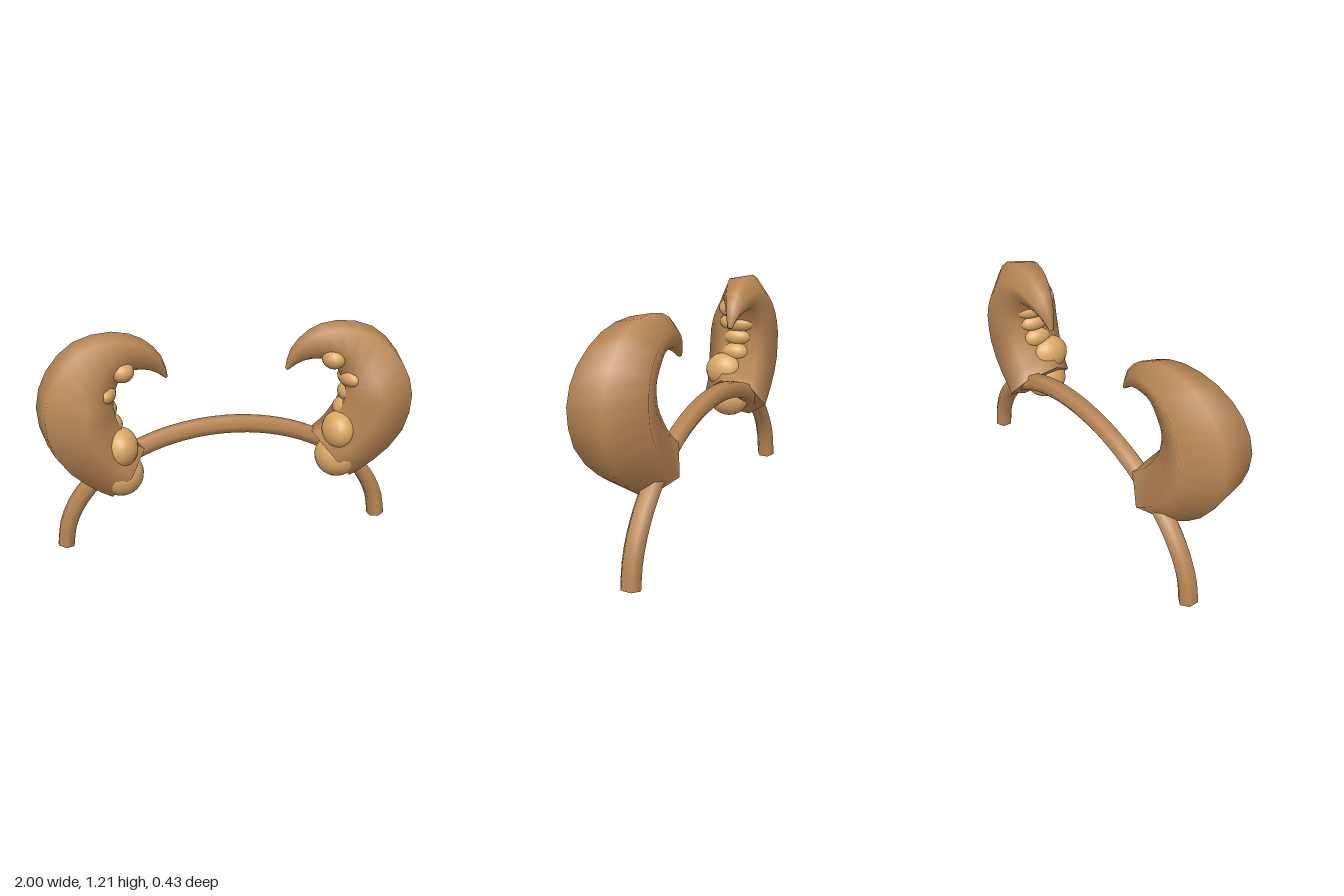
import * as THREE from 'three';

const brown = new THREE.MeshStandardMaterial({ color: 0xba8754 });
brown.name = 'horn brown';
const gold = new THREE.MeshStandardMaterial({ color: 0xdca765 });
gold.name = 'fluff gold';

// Horn cross-sections from base to tip: x, y, in-plane radius, centre z, half depth
const SECTIONS = [
  [0.570, 0.485, 0.165, -0.03, 0.185],
  [0.680, 0.575, 0.180, -0.015, 0.195],
  [0.780, 0.715, 0.197, 0.005, 0.208],
  [0.805, 0.850, 0.196, 0.010, 0.205],
  [0.775, 0.965, 0.180, 0.000, 0.185],
  [0.697, 1.060, 0.156, -0.025, 0.150],
  [0.580, 1.115, 0.108, -0.050, 0.115],
  [0.470, 1.100, 0.080, -0.068, 0.080],
  [0.380, 1.045, 0.046, -0.080, 0.045],
  [0.325, 0.965, 0.008, -0.085, 0.015],
];
const SIDES = 6;
const PHASE = -17 * Math.PI / 180;

// Lofted hexagonal horn; the cross-sections are smoothed along a spline
function hornGeometry(side) {
  const centres = new THREE.CatmullRomCurve3(SECTIONS.map(s => new THREE.Vector3(s[0], s[1], s[3])));
  const sizes = new THREE.CatmullRomCurve3(SECTIONS.map(s => new THREE.Vector3(s[2], s[4], 0)));
  const rows = 2 * (SECTIONS.length - 1);
  const pos = [], idx = [];
  const tri = (a, b, c) => (side > 0 ? idx.push(a, b, c) : idx.push(a, c, b));
  for (let i = 0; i <= rows; i++) {
    const t = i / rows;
    const c = centres.getPoint(t), s = sizes.getPoint(t), d = centres.getTangent(t);
    const len = Math.hypot(d.x, d.y);
    const nx = d.y / len, ny = -d.x / len; // outward, away from the curl
    for (let k = 0; k < SIDES; k++) {
      const a = PHASE + k * Math.PI * 2 / SIDES;
      const r = Math.cos(a) * s.x * 1.04, h = Math.sin(a) * s.y * 1.02;
      pos.push(side * (c.x + nx * r), c.y + ny * r, c.z + h);
    }
  }
  for (let i = 0; i < rows; i++) {
    for (let k = 0; k < SIDES; k++) {
      const a = i * SIDES + k, b = i * SIDES + (k + 1) % SIDES;
      tri(a, a + SIDES, b);
      tri(b, a + SIDES, b + SIDES);
    }
  }
  // Flat caps at base and tip with their own corners
  for (const row of [0, rows]) {
    const start = pos.length / 3;
    pos.push(...pos.slice(row * SIDES * 3, (row + 1) * SIDES * 3));
    for (let k = 1; k < SIDES - 1; k++) {
      if (row === 0) tri(start, start + k, start + k + 1);
      else tri(start, start + k + 1, start + k);
    }
  }
  const g = new THREE.BufferGeometry();
  g.setAttribute('position', new THREE.Float32BufferAttribute(pos, 3));
  g.setIndex(idx);
  g.computeVertexNormals();
  return g;
}

// Fluff balls along the inner curl: centre x, y, z and radii
const FLUFF = [
  [0.595, 0.485, 0.02, 0.120, 0.120, 0.125],
  [0.590, 0.645, 0.05, 0.090, 0.105, 0.115],
  [0.635, 0.755, 0.00, 0.065, 0.060, 0.085],
  [0.660, 0.845, 0.00, 0.065, 0.055, 0.090],
  [0.655, 0.930, 0.00, 0.060, 0.055, 0.110],
  [0.560, 1.035, 0.00, 0.062, 0.056, 0.075],
];

function addMesh(parent, geometry, material, name) {
  const m = new THREE.Mesh(geometry, material);
  m.name = name;
  parent.add(m);
  return m;
}

// Arched head band with a six-sided section
function buildBand() {
  const band = new THREE.Group();
  band.name = 'headBand';
  const pts = [];
  for (let i = 0; i <= 16; i++) {
    const a = Math.PI * (0.01 + 0.98 * i / 16);
    pts.push(new THREE.Vector3(-0.915 * Math.cos(a), 0.667 * Math.sin(a) - 0.006, -0.118));
  }
  const path = new THREE.CatmullRomCurve3(pts);
  const tube = new THREE.TubeGeometry(path, 40, 0.05, 6);
  // Stretch the section so that it is deeper than it is tall
  tube.translate(0, 0, 0.118).scale(1, 1, 1.08).translate(0, 0, -0.118);
  addMesh(band, tube, brown, 'bandArch');
  // End caps on both feet, taken from the first and last rings
  const p = tube.attributes.position;
  for (const [name, ring, flip] of [['rightFoot', 0, false], ['leftFoot', 40, true]]) {
    const v = [], idx = [];
    for (let k = 0; k < 6; k++) {
      const j = ring * 7 + k;
      v.push(p.getX(j), p.getY(j), p.getZ(j));
    }
    for (let k = 1; k < 5; k++) idx.push(0, flip ? k + 1 : k, flip ? k : k + 1);
    const g = new THREE.BufferGeometry();
    g.setAttribute('position', new THREE.Float32BufferAttribute(v, 3));
    g.setIndex(idx);
    g.computeVertexNormals();
    // Make sure the cap faces downward
    if (g.attributes.normal.getY(0) > 0) {
      g.setIndex(idx.reverse());
      g.computeVertexNormals();
    }
    addMesh(band, g, brown, name);
  }
  return band;
}

export function createModel() {
  const model = new THREE.Group();
  model.name = 'hornedHeadBand';
  model.add(buildBand());
  for (const side of [1, -1]) {
    const prefix = side > 0 ? 'left' : 'right';
    const horn = new THREE.Group();
    horn.name = prefix + 'HornGroup';
    addMesh(horn, hornGeometry(side), brown, prefix + 'Horn');
    FLUFF.forEach(([x, y, z, rx, ry, rz], i) => {
      const ball = addMesh(horn, new THREE.SphereGeometry(1, 20, 14), gold, prefix + 'Fluff' + (i + 1));
      ball.position.set(side * x, y, z);
      ball.scale.set(rx, ry, rz);
    });
    model.add(horn);
  }
  return model;
}
